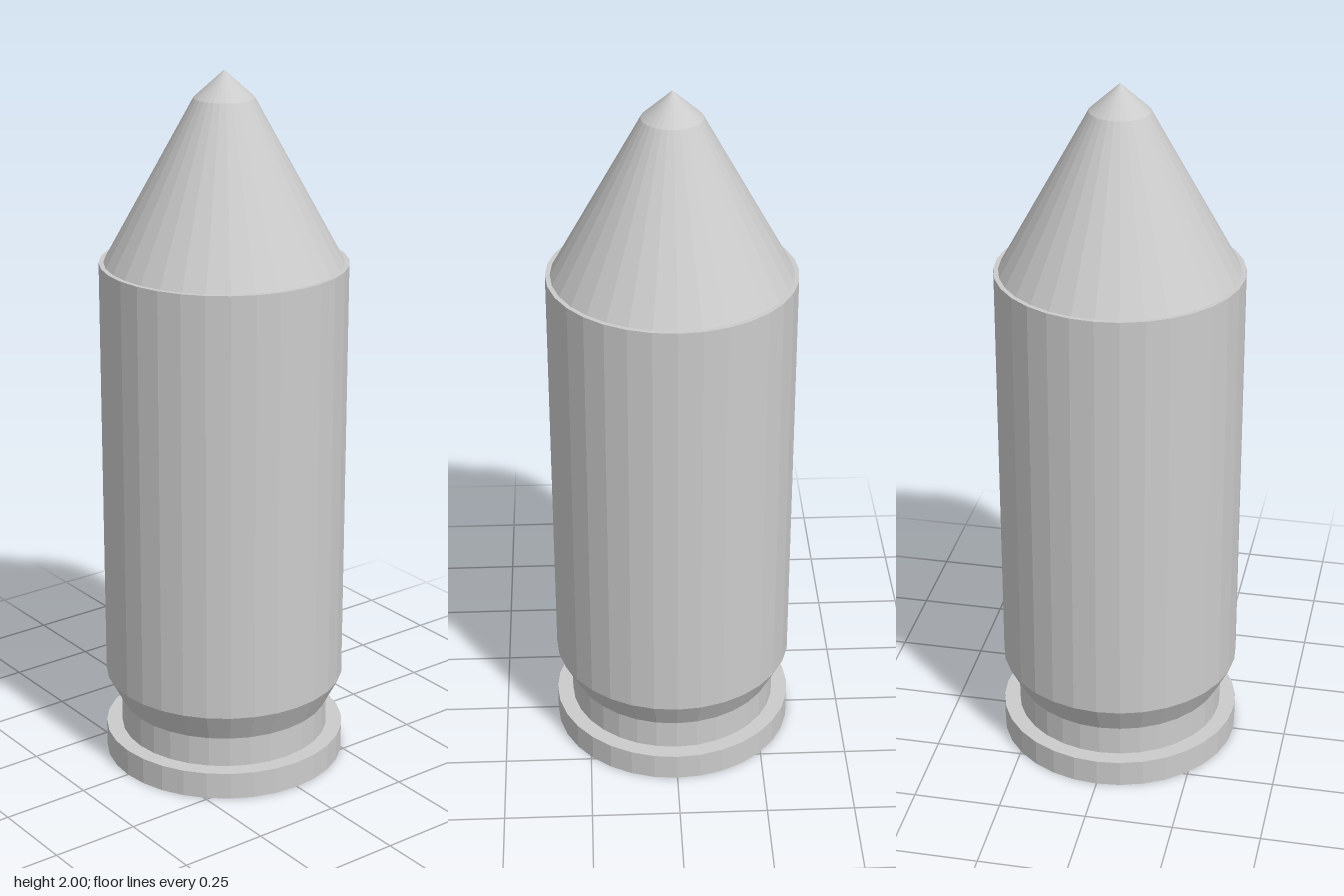
import * as THREE from 'three';

const SIDES = 32;

export function createModel() {
  const model = new THREE.Group();
  model.name = 'cartridge';
  const material = new THREE.MeshStandardMaterial({ color: 0xcccccc, flatShading: true });

  // Revolve a bottom-to-top list of [radius, height] pairs
  const addTurned = (name, profile) => {
    const points = profile.map(([r, y]) => new THREE.Vector2(r, y));
    const mesh = new THREE.Mesh(new THREE.LatheGeometry(points, SIDES), material);
    mesh.name = name;
    model.add(mesh);
  };

  // Flat base disc with its rim
  addTurned('baseRim', [[0, 0], [0.346, 0], [0.346, 0.078], [0.3, 0.078]]);

  // Narrow groove above the rim, flaring out to the case
  addTurned('extractorGroove', [[0.3, 0.078], [0.3, 0.165], [0.344, 0.25]]);

  // Straight case with a thin lip around the nose
  addTurned('caseBody', [[0.344, 0.25], [0.344, 1.474], [0.331, 1.474]]);

  // Conical nose with a blunter tip
  addTurned('noseCone', [[0.331, 1.474], [0.083, 1.925]]);
  addTurned('noseTip', [[0.083, 1.925], [0, 2]]);

  return model;
}
